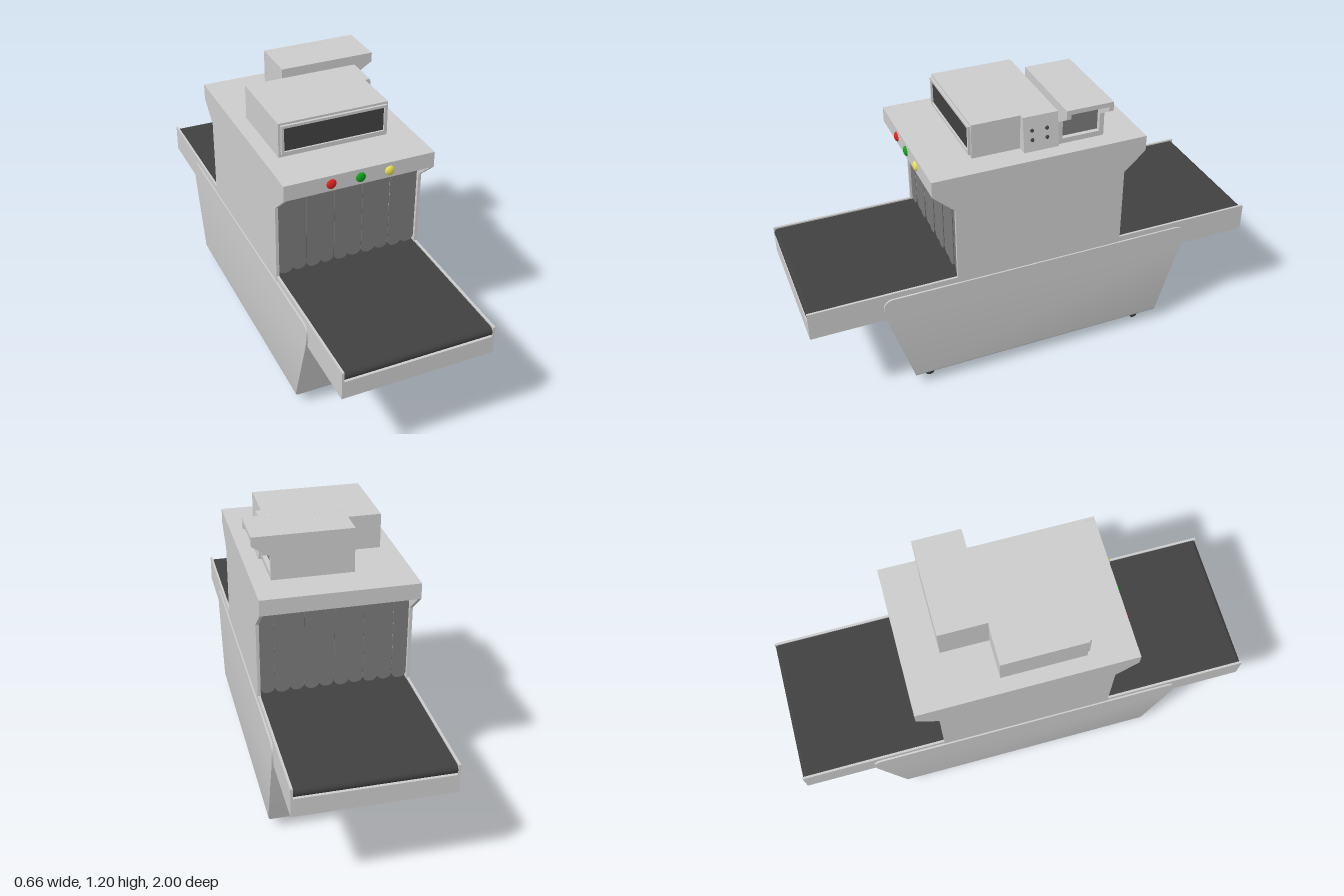
import * as THREE from 'three';
import { toCreasedNormals } from 'three/addons/utils/BufferGeometryUtils.js';

const mat = (color) => new THREE.MeshStandardMaterial({ color });
const grey = mat(0xcccccc);
const dark = mat(0x404040);
const rubber = mat(0x7a7a7a);
rubber.side = THREE.DoubleSide;

export function createModel() {
  const model = new THREE.Group();

  const add = (name, geo, material = grey, parent = model) => {
    const mesh = new THREE.Mesh(geo, material);
    mesh.name = name;
    parent.add(mesh);
    return mesh;
  };
  // box given by its limits on each axis
  const box = (name, [x0, x1], [y0, y1], [z0, z1], material, parent) => {
    const mesh = add(name, new THREE.BoxGeometry(x1 - x0, y1 - y0, z1 - z0), material, parent);
    mesh.position.set((x0 + x1) / 2, (y0 + y1) / 2, (z0 + z1) / 2);
    return mesh;
  };
  const outline = (points) => new THREE.Shape(points.map(([a, b]) => new THREE.Vector2(a, b)));
  // xy outline pushed along z, from z0 to z1
  const prism = (points, z0, z1) =>
    new THREE.ExtrudeGeometry(outline(points), { depth: z1 - z0, bevelEnabled: false }).translate(0, 0, z0);
  // flat rectangular frame with a hole
  const frameGeo = (x0, x1, y0, y1, t, depth) => {
    const s = outline([[x0, y0], [x1, y0], [x1, y1], [x0, y1]]);
    s.holes.push(new THREE.Path([[x0 + t, y0 + t], [x0 + t, y1 - t], [x1 - t, y1 - t], [x1 - t, y0 + t]]
      .map(([a, b]) => new THREE.Vector2(a, b))));
    return new THREE.ExtrudeGeometry(s, { depth, bevelEnabled: false });
  };

  // Base: stacked rectangles [y, half width, half length], rounded below and at the upper ends
  const levels = [
    [0.05, 0.316, 0.577], [0.052, 0.323, 0.578], [0.057, 0.328, 0.579], [0.065, 0.33, 0.581],
    [0.4, 0.33, 0.684], [0.44, 0.33, 0.692], [0.47, 0.33, 0.69], [0.485, 0.33, 0.684],
    [0.495, 0.33, 0.672], [0.5, 0.33, 0.655],
  ];
  const baseGeo = new THREE.BoxGeometry(2, 2, 2, 1, levels.length - 1, 1);
  const p = baseGeo.attributes.position;
  for (let i = 0; i < p.count; i++) {
    const [y, w, l] = levels[Math.round((p.getY(i) + 1) / 2 * (levels.length - 1))];
    p.setXYZ(i, p.getX(i) * w, y, p.getZ(i) * l);
  }
  add('base', toCreasedNormals(baseGeo, 0.6));

  // Conveyor: bed, side rails, belt with rounded ends
  const conveyor = new THREE.Group();
  conveyor.name = 'conveyor';
  model.add(conveyor);
  box('conveyorBed', [-0.315, 0.315], [0.4, 0.48], [-1, 1], grey, conveyor);
  for (const s of [-1, 1]) {
    const rail = box('conveyorRail', [-0.005, 0.005], [0.4, 0.525], [-1, 1], grey, conveyor);
    rail.position.x = s * 0.317;
    const roller = add('beltRoller', new THREE.CylinderGeometry(0.02, 0.02, 0.624, 24), dark, conveyor);
    roller.rotation.z = Math.PI / 2;
    roller.position.set(0, 0.499, s * 0.979);
  }
  box('belt', [-0.312, 0.312], [0.479, 0.519], [-0.979, 0.979], dark, conveyor);

  // Tunnel: flared side walls and roof
  const wall = [
    [-0.372, 0.5], [0.372, 0.5], [0.372, 0.857], [0.465, 0.942],
    [0.465, 1.01], [-0.465, 1.01], [-0.465, 0.942], [-0.372, 0.857],
  ];
  for (const s of [-1, 1]) {
    const mesh = add('tunnelWall', prism(wall, -0.0065, 0.0065).rotateY(-Math.PI / 2));
    mesh.position.x = s * 0.317;
  }
  box('tunnelRoof', [-0.323, 0.323], [0.942, 1.0098], [-0.4648, 0.4648]);

  // Curtains: ten strips with round ends at each opening
  const flapW = 0.062;
  const flap = new THREE.Shape();
  flap.moveTo(-flapW / 2, 0.945);
  flap.lineTo(-flapW / 2, 0.55);
  flap.absellipse(0, 0.55, flapW / 2, 0.026, Math.PI, Math.PI * 2, false);
  flap.lineTo(flapW / 2, 0.945);
  const flapGeo = new THREE.ExtrudeGeometry(flap, { depth: 0.003, bevelEnabled: false, curveSegments: 8 });
  for (const s of [-1, 1]) {
    const curtain = new THREE.Group();
    curtain.name = s > 0 ? 'frontCurtain' : 'backCurtain';
    model.add(curtain);
    for (let i = 0; i < 10; i++) {
      const strip = add('curtainStrip', flapGeo, rubber, curtain);
      strip.position.set((i - 4.5) * flapW, 0, s * (0.36 - (i % 2) * 0.004));
    }
  }

  // Signal lamps
  [[-0.125, 0xe02020, 'redLamp'], [0, 0x10a018, 'greenLamp'], [0.125, 0xe8e050, 'yellowLamp']]
    .forEach(([x, color, name]) => {
      const lamp = add(name, new THREE.SphereGeometry(0.021, 24, 16), mat(color));
      lamp.position.set(x, 0.973, 0.464);
      lamp.scale.z = 0.6;
    });

  // Monitor housing with bezel and screen
  box('monitorHousing', [-0.26, 0.215], [1.01, 1.16], [-0.1, 0.26]);
  add('monitorBezel', frameGeo(-0.25, 0.207, 1.025, 1.151, 0.011, 0.011)).position.z = 0.26;
  box('monitorScreen', [-0.24, 0.197], [1.035, 1.141], [0.258, 0.263], dark);

  // Sloped control panel with four buttons
  add('controlPanel', prism([[0.2, 1.01], [0.258, 1.01], [0.238, 1.16], [0.2, 1.16]], -0.1, 0.052));
  for (const y of [1.06, 1.1]) {
    for (const z of [0.015, -0.05]) {
      const button = add('controlButton', new THREE.SphereGeometry(0.008, 16, 10), dark);
      button.position.set(0.258 - (y - 1.01) * 0.133, y, z);
    }
  }

  // Hooded side display: open end under an overhanging visor
  const hood = new THREE.Group();
  hood.name = 'sideDisplay';
  model.add(hood);
  const cheek = [[-0.095, 1.01], [0.245, 1.01], [0.245, 1.113], [0.32, 1.16], [0.32, 1.2], [-0.095, 1.2]];
  add('hoodCheek', prism(cheek, -0.12, -0.1), grey, hood);
  add('hoodCheek', prism(cheek, -0.305, -0.285), grey, hood);
  box('hoodTop', [-0.0948, 0.3198], [1.18, 1.1998], [-0.286, -0.119], grey, hood);
  box('hoodBody', [-0.0948, 0.22], [1.01, 1.181], [-0.286, -0.119], grey, hood);
  box('hoodSill', [0.2, 0.2448], [1.01, 1.033], [-0.286, -0.119], grey, hood);
  box('sideScreen', [0.21, 0.225], [1.03, 1.181], [-0.286, -0.119], rubber, hood);

  // Casters: forked bracket and wheel
  for (const x of [-0.28, 0.28]) {
    for (const z of [-0.497, 0.503]) {
      const caster = new THREE.Group();
      caster.name = 'caster';
      caster.position.set(x, 0, z);
      model.add(caster);
      const wheel = add('casterWheel', new THREE.CylinderGeometry(0.02, 0.02, 0.011, 20), dark, caster);
      wheel.rotation.z = Math.PI / 2;
      wheel.position.y = 0.02;
      const axle = add('casterAxle', new THREE.CylinderGeometry(0.004, 0.004, 0.034, 10), dark, caster);
      axle.rotation.z = Math.PI / 2;
      axle.position.y = 0.022;
      box('casterPlate', [-0.025, 0.025], [0.045, 0.052], [-0.014, 0.014], dark, caster);
      for (const s of [-1, 1]) {
        const leg = box('casterFork', [-0.002, 0.002], [0.018, 0.05], [-0.008, 0.008], dark, caster);
        leg.position.x = s * 0.019;
        leg.rotation.z = -s * 0.2;
      }
    }
  }

  return model;
}
